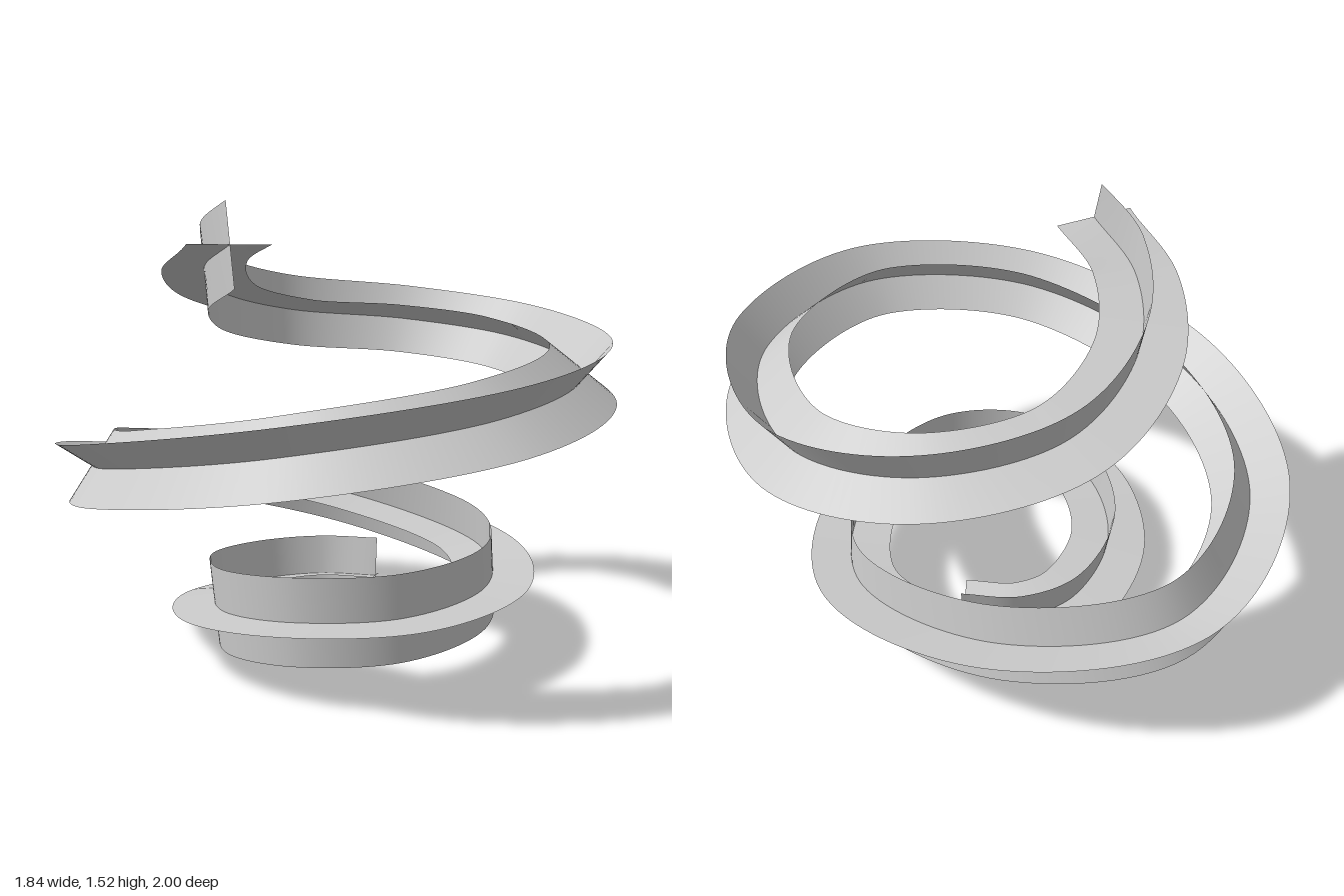
import * as THREE from 'three';

// Centre line of the spiral: x, y, z and roll of the cross section in degrees
const PATH = [
  [0.30, 0.135, -0.17, -13],
  [0.14, 0.137, -0.30, -13],
  [-0.07, 0.143, -0.335, -12],
  [-0.35, 0.172, -0.19, -8],
  [-0.485, 0.205, 0.12, -3],
  [-0.39, 0.235, 0.41, 0],
  [-0.10, 0.245, 0.575, 0],
  [0.32, 0.252, 0.46, 2],
  [0.585, 0.283, 0.06, 6],
  [0.40, 0.38, -0.53, 13],
  [-0.08, 0.493, -0.865, 20],
  [-0.58, 0.592, -0.64, 29],
  [-0.81, 0.685, -0.03, 37],
  [-0.58, 0.80, 0.63, 42],
  [-0.01, 0.895, 0.895, 46],
  [0.59, 0.965, 0.60, 51],
  [0.80, 1.04, -0.03, 58],
  [0.59, 1.09, -0.41, 65],
  [0.17, 1.13, -0.56, 72],
  [-0.21, 1.21, -0.42, 80],
  [-0.40, 1.305, -0.17, 86],
  [-0.44, 1.38, 0.10, 90],
];
const HALF_WIDTH = 0.142;
const STEPS = 336;

// Flat ribbon along the path, turned by an extra angle about the centre line
function ribbonGeometry(turn) {
  const line = new THREE.CatmullRomCurve3(PATH.map(([x, y, z]) => new THREE.Vector3(x, y, z)));
  const rolls = new THREE.CatmullRomCurve3(
    PATH.map((p) => new THREE.Vector3(p[3], 0, 0)), false, 'catmullrom');
  const up = new THREE.Vector3(0, 1, 0);
  const positions = [];
  const indices = [];
  for (let i = 0; i <= STEPS; i++) {
    const t = i / STEPS;
    const centre = line.getPoint(t);
    const tangent = line.getTangent(t);
    const out = new THREE.Vector3().crossVectors(tangent, up).normalize();
    const rise = new THREE.Vector3().crossVectors(out, tangent);
    const angle = THREE.MathUtils.degToRad(rolls.getPoint(t).x) + turn;
    const across = out.multiplyScalar(Math.cos(angle)).addScaledVector(rise, Math.sin(angle));
    // inner edge, centre, outer edge
    for (const s of [-1, 0, 1]) {
      positions.push(...centre.clone().addScaledVector(across, s * HALF_WIDTH).toArray());
    }
    if (i === STEPS) continue;
    for (let k = 0; k < 2; k++) {
      const a = i * 3 + k;
      indices.push(a, a + 1, a + 3, a + 1, a + 4, a + 3);
    }
  }
  const geometry = new THREE.BufferGeometry();
  geometry.setAttribute('position', new THREE.Float32BufferAttribute(positions, 3));
  geometry.setIndex(indices);
  geometry.computeVertexNormals();
  return geometry;
}

export function createModel() {
  const group = new THREE.Group();
  group.name = 'crossedRibbonSpiral';
  const material = new THREE.MeshStandardMaterial({ color: 0xcccccc, side: THREE.DoubleSide });
  // Two ribbons crossing at right angles
  for (const [name, turn] of [['flatRibbon', 0], ['uprightRibbon', Math.PI / 2]]) {
    const mesh = new THREE.Mesh(ribbonGeometry(turn), material);
    mesh.name = name;
    group.add(mesh);
  }
  return group;
}
